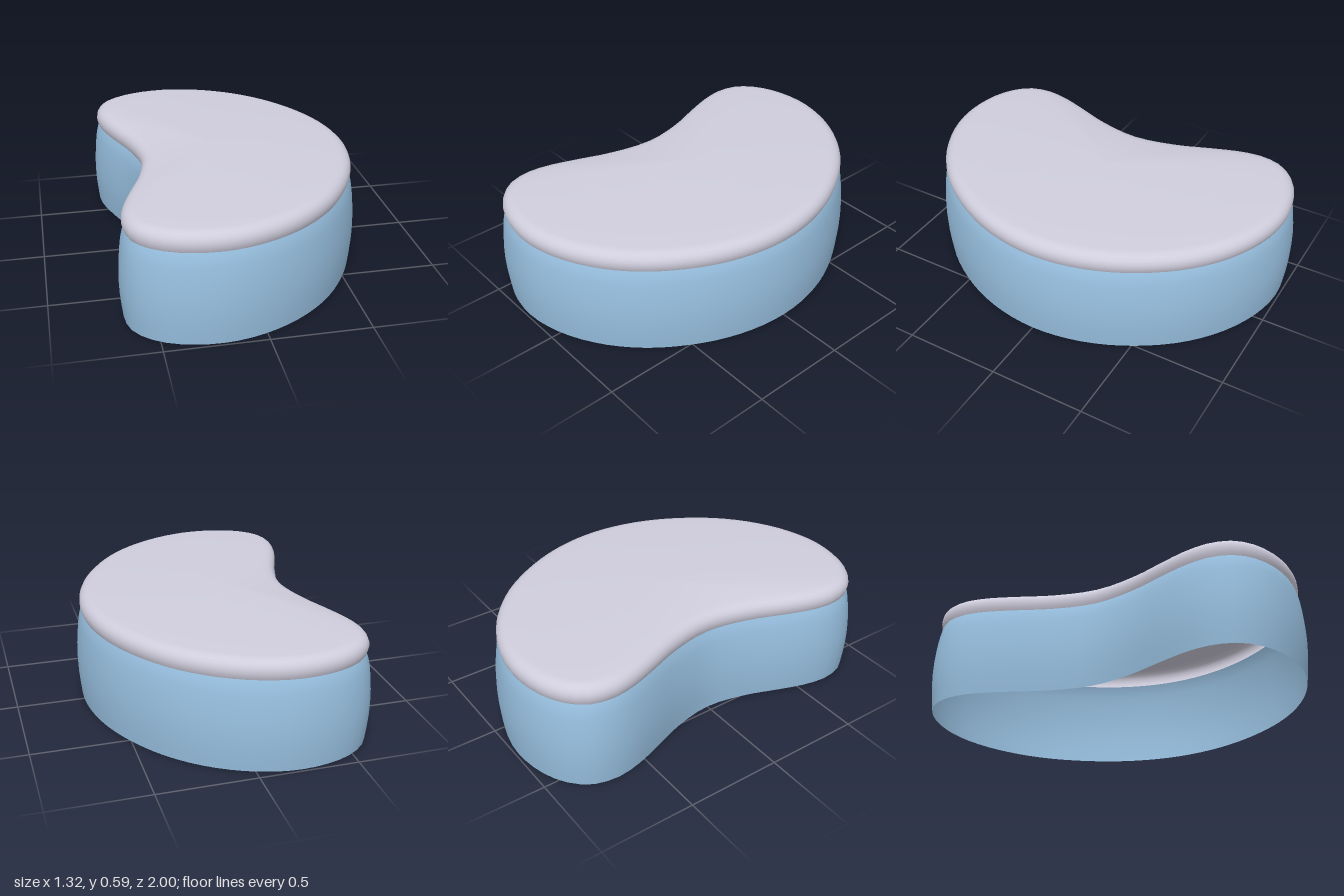
import * as THREE from 'three';

const SEGMENTS = 80;
const CENTRE = new THREE.Vector2(-0.1, 0);

// Half of the kidney outline (x, z), mirrored across z = 0
const half = [
  [0.66, 0], [0.642, 0.18], [0.59, 0.36], [0.5, 0.54], [0.37, 0.715], [0.2, 0.86],
  [0, 0.96], [-0.2, 1], [-0.4, 0.976], [-0.54, 0.91], [-0.63, 0.81], [-0.66, 0.68],
  [-0.642, 0.55], [-0.59, 0.395], [-0.525, 0.22], [-0.485, 0],
];
const mirrored = half.slice(1, -1).reverse().map(([x, z]) => [x, -z]);
const outline = new THREE.CatmullRomCurve3(
  [...half, ...mirrored].map(([x, z]) => new THREE.Vector3(x, 0, z)), true, 'centripetal');

// Sweeps rings round the outline; each ring is [inset, y, shrink towards the centre]
function kidneySurface(rings) {
  const positions = [], indices = [];
  for (const [inset, y, shrink = 0] of rings) {
    for (let i = 0; i < SEGMENTS; i++) {
      const p = outline.getPointAt(i / SEGMENTS);
      const t = outline.getTangentAt(i / SEGMENTS);
      const x = p.x - t.z * inset, z = p.z + t.x * inset;
      positions.push(
        THREE.MathUtils.lerp(x, CENTRE.x, shrink), y,
        THREE.MathUtils.lerp(z, CENTRE.y, shrink));
    }
  }
  for (let r = 0; r < rings.length - 1; r++) {
    for (let i = 0; i < SEGMENTS; i++) {
      const n = (i + 1) % SEGMENTS;
      const a = r * SEGMENTS + i, b = r * SEGMENTS + n;
      const c = a + SEGMENTS, d = b + SEGMENTS;
      indices.push(a, c, b);
      indices.push(b, c, d);
    }
  }
  const geometry = new THREE.BufferGeometry();
  geometry.setAttribute('position', new THREE.Float32BufferAttribute(positions, 3));
  geometry.setIndex(indices);
  geometry.computeVertexNormals();
  return geometry;
}

export function createModel() {
  const group = new THREE.Group();
  group.name = 'kidneyOttoman';

  const blue = new THREE.MeshStandardMaterial({ color: 0x98c0e0, side: THREE.DoubleSide });
  blue.name = 'blue fabric';
  const grey = new THREE.MeshStandardMaterial({ color: 0xcfcddc, side: THREE.DoubleSide });
  grey.name = 'pale grey fabric';

  // Bulging side wall, open underneath
  const base = new THREE.Mesh(kidneySurface([
    [0.015, 0], [0.008, 0.06], [0.002, 0.13], [0, 0.2], [0.002, 0.27],
    [0.008, 0.34], [0.016, 0.4], [0.025, 0.44], [0.036, 0.468],
  ]), blue);
  base.name = 'base';

  // Padded seat with a rolled edge and a slightly domed top
  const cushion = new THREE.Mesh(kidneySurface([
    [0.036, 0.468], [0.029, 0.483], [0.025, 0.502], [0.026, 0.522], [0.034, 0.54],
    [0.048, 0.554], [0.066, 0.562], [0.09, 0.567], [0.09, 0.572, 0.15], [0.09, 0.579, 0.35],
    [0.09, 0.585, 0.6], [0.09, 0.588, 0.8], [0.09, 0.59, 0.999],
  ]), grey);
  cushion.name = 'cushion';

  group.add(base, cushion);
  return group;
}
